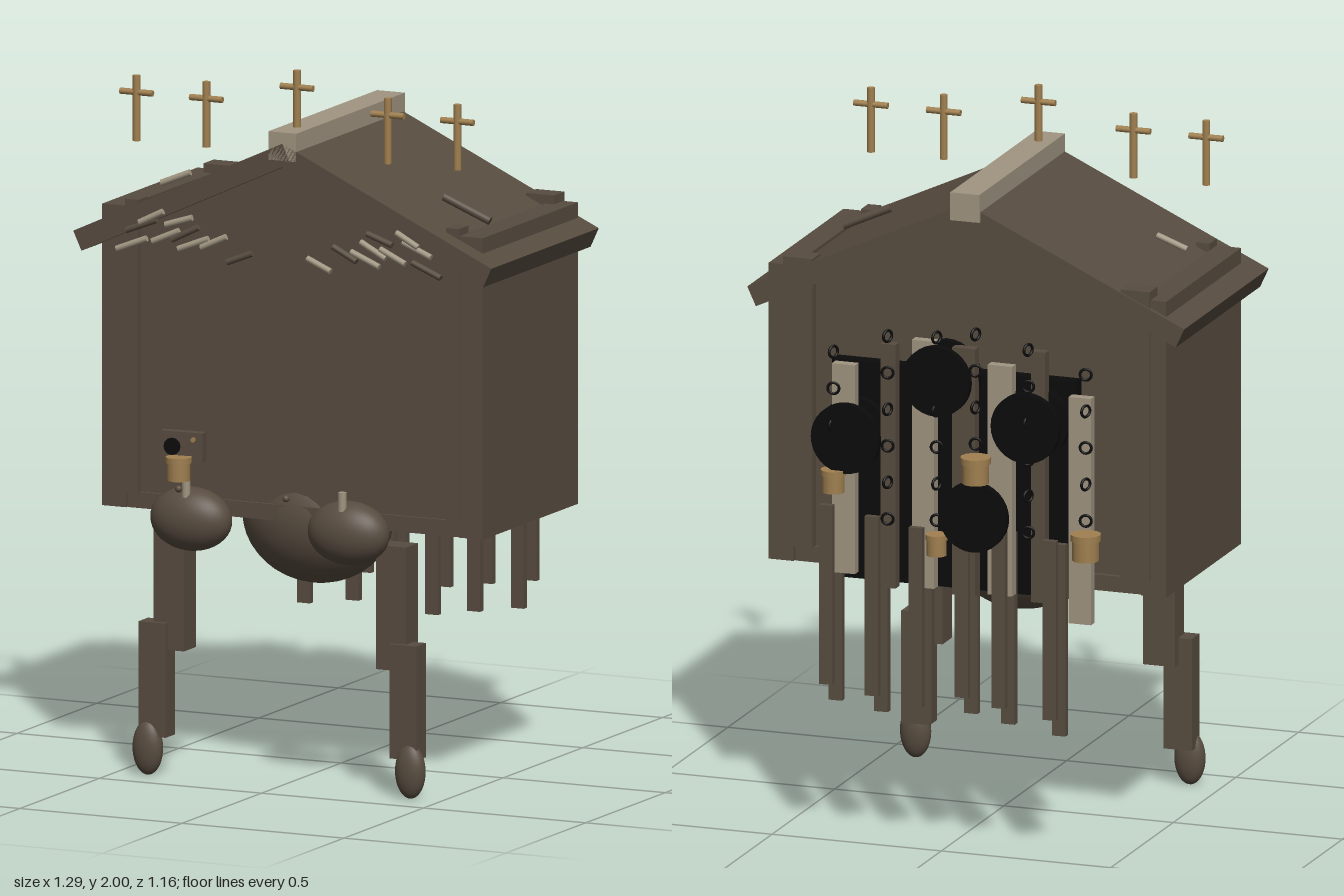
import * as THREE from 'three';

const mat = (name, color) => Object.assign(new THREE.MeshStandardMaterial({ color }), { name });

export function createModel() {
  const root = new THREE.Group();
  root.name = 'hutOnLegs';
  const wood = mat('darkWood', 0x584c40);
  const pale = mat('paleBone', 0xa09581);
  const brass = mat('oldBrass', 0xa08050);
  const black = mat('black', 0x0b0b0c);

  const add = (name, geo, material, x, y, z, parent = root) => {
    const m = new THREE.Mesh(geo, material);
    m.name = name;
    m.position.set(x, y, z);
    parent.add(m);
    return m;
  };
  // box given by its limits on each axis
  const box = (name, material, x0, x1, y0, y1, z0, z1) =>
    add(name, new THREE.BoxGeometry(x1 - x0, y1 - y0, z1 - z0), material,
      (x0 + x1) / 2, (y0 + y1) / 2, (z0 + z1) / 2);
  const ball = (name, x, y, z, rx, ry, rz, material = wood) =>
    add(name, new THREE.SphereGeometry(1, 32, 20), material, x, y, z).scale.set(rx, ry, rz);
  const rod = (name, material, r, h, x, y, z, parent) =>
    add(name, new THREE.CylinderGeometry(r, r, h, 12), material, x, y, z, parent);

  // gabled body
  const gable = new THREE.Shape([[-0.515, 0.775], [0.515, 0.775], [0.515, 1.53], [0, 1.75], [-0.515, 1.53]]
    .map(([x, y]) => new THREE.Vector2(x, y)));
  add('body', new THREE.ExtrudeGeometry(gable, { depth: 0.56, bevelEnabled: false }), wood, 0, 0, -0.27);
  box('frontSill', wood, -0.51, 0.51, 0.73, 0.775, 0.25, 0.3);
  box('backSill', wood, -0.51, 0.51, 0.73, 0.775, -0.285, -0.235);

  // roof slabs: top line falls from the ridge to the eave
  const slope = Math.atan(0.463);
  for (const s of [-1, 1]) {
    box('sideWall', wood, s * 0.55 - 0.037, s * 0.55 + 0.037, 0.73, 1.58, -0.292, 0.306);
    box('backPost', wood, s * 0.498 - 0.043, s * 0.498 + 0.043, 0.775, 1.605, -0.3, -0.235);
    box('frontPost', wood, s * 0.495 - 0.02, s * 0.495 + 0.02, 0.775, 1.6, 0.25, 0.308);
    const len = 0.645 / Math.cos(slope);
    const slab = add('roofSlab', new THREE.BoxGeometry(len, 0.06, 0.675), wood,
      s * (0.3225 - 0.03 * Math.sin(slope)), 1.659 - 0.03 * Math.cos(slope), 0.0325);
    slab.rotation.z = -s * slope;

    // legs, feet and shoulders
    box('upperLeg', wood, s * 0.343 - 0.047, s * 0.343 + 0.047, 0.355, 0.705, 0.31, 0.385);
    box('lowerLeg', wood, s * 0.387 - 0.042, s * 0.387 + 0.042, 0.11, 0.432, 0.34, 0.4);
    ball('foot', s * 0.405, 0.077, 0.39, 0.045, 0.077, 0.03);
    ball('shoulder', s * 0.243, 0.745, 0.447, 0.122, 0.09, 0.071);
    rod('nub', pale, 0.012, 0.07, s * 0.241, 0.83, 0.483);
  }
  box('ridgeCap', pale, -0.043, 0.043, 1.76, 1.84, -0.313, 0.37);
  ball('belly', 0, 0.725, 0.143, 0.22, 0.19, 0.165);

  // row of crosses above the roof
  for (const x of [-0.495, -0.28, 0, 0.28, 0.495]) {
    const g = new THREE.Group();
    g.name = 'cross';
    g.position.set(x, x === 0 ? 1.815 : 1.76, 0.277);
    rod('upright', brass, 0.011, 0.185, 0, 0.0925, 0, g);
    rod('arm', brass, 0.009, 0.1, 0, 0.137, 0, g).rotation.z = Math.PI / 2;
    root.add(g);
  }

  // straws tucked under the front eaves: start x, start y, end x, end y
  const straws = [
    [-0.5, 1.475, -0.41, 1.51], [-0.47, 1.53, -0.38, 1.565], [-0.39, 1.505, -0.31, 1.54],
    [-0.35, 1.555, -0.27, 1.58], [-0.33, 1.515, -0.25, 1.555], [-0.31, 1.49, -0.22, 1.525],
    [-0.24, 1.5, -0.165, 1.535], [-0.16, 1.465, -0.085, 1.495], [-0.43, 1.555, -0.36, 1.59]];
  const straw = (a, b, material, r = 0.009) => {
    const d = b.clone().sub(a);
    const m = rod('straw', material, r, d.length(), ...a.clone().add(b).multiplyScalar(0.5).toArray());
    m.quaternion.setFromUnitVectors(new THREE.Vector3(0, 1, 0), d.normalize());
  };
  for (const s of [-1, 1]) straws.forEach(([x0, y0, x1, y1], i) =>
    straw(new THREE.Vector3(-s * x0, y0, 0.392), new THREE.Vector3(-s * x1, y1, 0.386),
      (i + (s > 0 ? 1 : 0)) % 3 === 1 ? wood : pale));
  straw(new THREE.Vector3(-0.495, 1.615, 0.122), new THREE.Vector3(-0.41, 1.65, 0.113), pale);
  straw(new THREE.Vector3(0.38, 1.65, 0.127), new THREE.Vector3(0.515, 1.59, 0.113), wood, 0.012);

  // lidded pot
  const pot = (x, y, z, r, h) => {
    rod('pot', brass, r * 0.88, h, x, y, z);
    rod('potRim', brass, r, h * 0.25, x, y + h * 0.38, z);
  };

  // small device on the right shoulder
  const device = new THREE.Group();
  device.name = 'device';
  device.position.set(-0.238, 0.96, 0.507);
  device.rotation.y = 0.06;
  add('case', new THREE.BoxGeometry(0.127, 0.084, 0.026), wood, 0, 0, 0, device);
  rod('lens', black, 0.024, 0.012, -0.027, 0, 0.015, device).rotation.x = Math.PI / 2;
  rod('button', brass, 0.007, 0.008, 0.036, 0.022, 0.015, device).rotation.x = Math.PI / 2;
  root.add(device);
  pot(-0.236, 0.902, 0.54, 0.037, 0.066);
  ball('bead', -0.236, 0.845, 0.54, 0.01, 0.01, 0.01);
  ball('bead', 0.095, 0.845, 0.54, 0.01, 0.01, 0.01);

  // dark panel behind the hut
  box('backPanel', black, -0.36, 0.36, 0.73, 1.355, -0.398, -0.356);

  // hanging boards: x, half width, bottom, top
  [[-0.408, 0.033, 0.69, 1.34, pale], [-0.285, 0.021, 0.74, 1.46, wood], [-0.172, 0.036, 0.75, 1.41, pale],
    [-0.065, 0.034, 0.74, 1.45, wood], [0.055, 0.033, 0.75, 1.46, pale], [0.158, 0.022, 0.74, 1.44, wood],
    [0.29, 0.034, 0.77, 1.37, pale]].forEach(([x, w, y0, y1, m]) =>
    box('hangingBoard', m, x - w, x + w, y0, y1, -0.498, -0.468));

  // two rows of narrow slats
  [-0.33, -0.18, -0.07, 0.065, 0.195, 0.33].forEach((x, i) => {
    const y = 0.35 + 0.02 * (i % 3);
    box('slat', wood, x - 0.02, x + 0.02, y, y + 0.55, -0.455, -0.434);
    box('slat', wood, x - 0.02, x + 0.02, y + 0.065, y + 0.58, -0.532, -0.513);
  });

  // dark discs in two layers
  const disc = (x, y, z) => {
    rod('disc', black, 0.1, 0.022, x, y, z).rotation.x = Math.PI / 2;
  };
  for (const z of [-0.46, -0.537]) for (const [x, y] of [[-0.263, 1.25], [0, 1.36], [0.268, 1.17]]) disc(x, y, z);
  disc(-0.11, 0.98, -0.537);
  root.traverse((o) => {
    if (o.name === 'disc') o.geometry = new THREE.CylinderGeometry(0.1, 0.1, 0.022, 32);
  });

  // chains of rings, some ending in a pot: x, lowest ring
  const ring = new THREE.TorusGeometry(0.016, 0.004, 8, 16);
  for (const [x, low] of [[-0.44, 1.0], [-0.27, 0.95], [-0.115, 1.19], [0, 0.96], [0.145, 0.95], [0.305, 1.1]]) {
    for (let y = low, i = 0; y < 1.52; y += 0.105, i++)
      add('chainRing', ring, black, x, y, -0.537).rotation.y = i % 2 ? 1.1 : 0.2;
  }
  pot(-0.44, 0.925, -0.537, 0.043, 0.075);
  pot(-0.115, 1.115, -0.537, 0.043, 0.075);
  pot(0, 0.89, -0.537, 0.032, 0.06);
  pot(0.305, 1.045, -0.537, 0.036, 0.065);

  return root;
}
